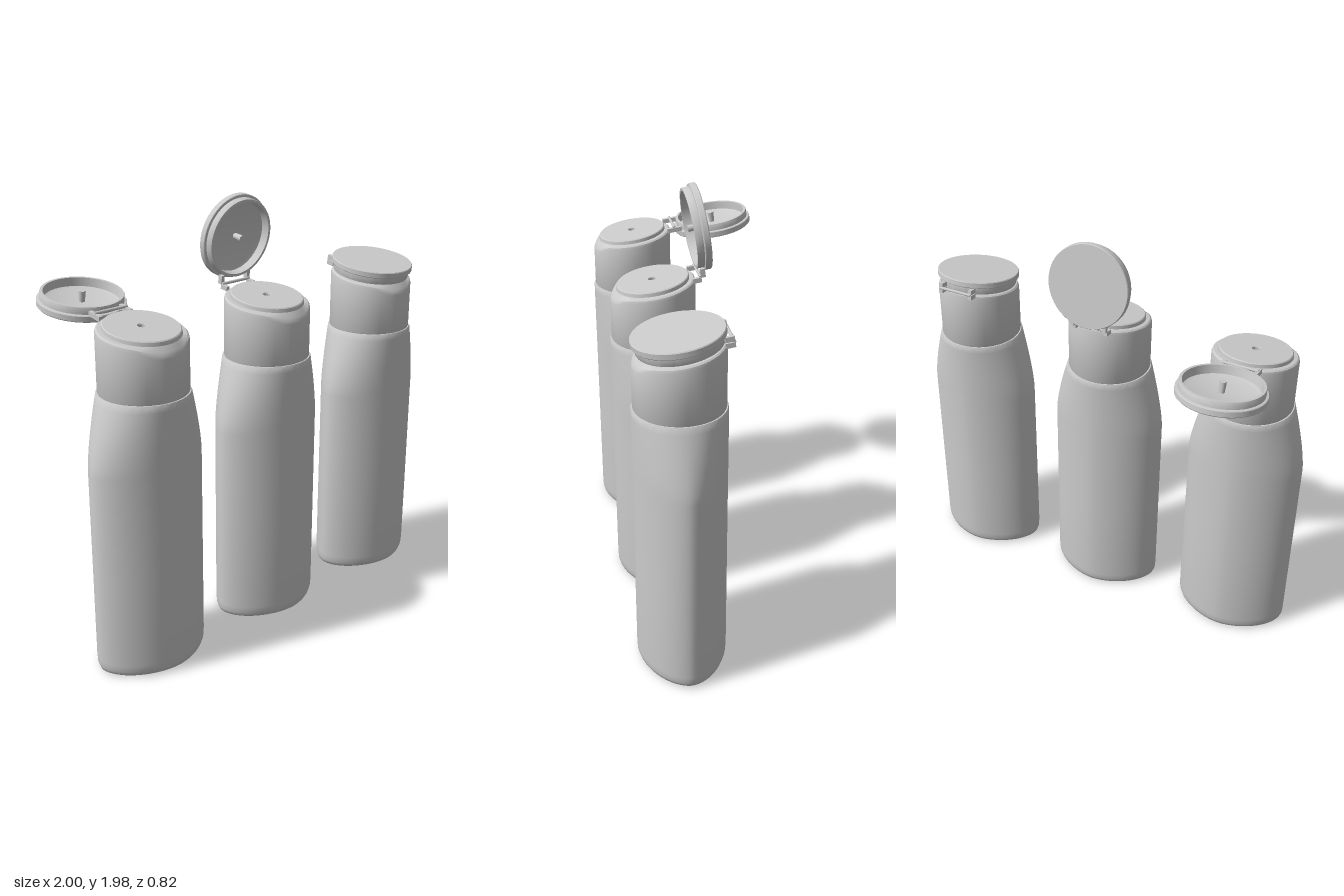
import * as THREE from 'three';
import { toCreasedNormals } from 'three/addons/utils/BufferGeometryUtils.js';

const material = new THREE.MeshStandardMaterial({ color: 0xcccccc });
const SEG = 72;
const TILT = 0.145;                 // slope of the cap top, rising to the back
const HINGE_Y = 1.573, HINGE_Z = -0.208;

function add(parent, name, geometry, x = 0, y = 0, z = 0) {
  const mesh = new THREE.Mesh(geometry, material);
  mesh.name = name;
  mesh.position.set(x, y, z);
  parent.add(mesh);
  return mesh;
}

// Skin a stack of rings, listed bottom centre first; pointAt(ring, angle) gives [x, y, z]
function loft(rings, pointAt, crease) {
  const pos = [], index = [];
  rings.forEach((ring, j) => {
    for (let i = 0; i < SEG; i++) {
      pos.push(...pointAt(ring, (i / SEG) * Math.PI * 2));
      if (j === 0) continue;
      const c = j * SEG + i, d = j * SEG + (i + 1) % SEG;
      const a = c - SEG, b = d - SEG;
      index.push(b, a, c, b, c, d);
    }
  });
  const g = new THREE.BufferGeometry();
  g.setAttribute('position', new THREE.Float32BufferAttribute(pos, 3));
  g.setIndex(index);
  return toCreasedNormals(g, crease);
}

// Bottle body: lens-shaped section blending to a round neck
function bodyGeometry() {
  // [height, half width, half depth, section exponent]
  const rings = [
    [0.03, 0, 0, 1.75], [0.028, 0.15, 0.1, 1.75], [0.02, 0.185, 0.125, 1.75],
    [0.004, 0.215, 0.148, 1.75], [0, 0.24, 0.168, 1.75], [0.003, 0.258, 0.184, 1.75],
    [0.012, 0.271, 0.195, 1.75], [0.03, 0.278, 0.201, 1.75], [0.06, 0.28, 0.203, 1.75],
    [0.5, 0.28, 0.203, 1.75],
  ];
  for (let k = 0; k <= 12; k++) {
    const t = k / 12;
    rings.push([0.95 + 0.312 * t, 0.28 - 0.076 * t ** 1.4, 0.203, 1.75 + 0.25 * t]);
  }
  rings.push([1.268, 0.2, 0.2, 2], [1.268, 0.18, 0.18, 2]);
  return loft(rings, ([y, a, b, n], t) => {
    const bend = v => Math.sign(v) * Math.abs(v) ** (2 / n);
    return [a * bend(Math.cos(t)), y, b * bend(Math.sin(t))];
  }, 0.7);
}

// Cap: round wall cut by the sloping top, thumb dip in front, raised disc with a spout hole
function capGeometry() {
  // [radius, height, follows the slope, share of thumb dip]
  const rings = [
    [0.185, 1.262, 0, 0], [0.193, 1.266, 0, 0], [0.196, 1.272, 0, 0],
    [0.196, -0.032, 1, 1], [0.193, -0.02, 1, 1], [0.186, -0.014, 1, 0.75],
    [0.168, -0.013, 1, 0], [0.166, 0.003, 1, 0], [0.162, 0.007, 1, 0],
    [0.02, 0.007, 1, 0], [0.018, 0.004, 1, 0], [0.016, -0.04, 1, 0], [0, -0.04, 1, 0],
  ];
  return loft(rings, ([r, h, slope, share], t) => {
    const x = r * Math.cos(t), z = r * Math.sin(t);
    const dip = z > 0 ? 0.026 * (1 - THREE.MathUtils.smoothstep(Math.abs(x), 0.05, 0.15)) : 0;
    const top = HINGE_Y - (z - HINGE_Z) * Math.tan(TILT);
    return [x, h + slope * top - share * dip, z];
  }, 0.5);
}

// Lid: flat plate with a hollow skirt below
function lidGeometry() {
  const profile = [
    [0, 0.036], [0.15, 0.036], [0.166, 0.03], [0.17, -0.009], [0.182, -0.009],
    [0.184, -0.005], [0.184, 0.023], [0.195, 0.025], [0.197, 0.028],
    [0.197, 0.051], [0.194, 0.055], [0, 0.055],
  ].map(p => new THREE.Vector2(...p));
  return toCreasedNormals(new THREE.LatheGeometry(profile, SEG), 0.5);
}

const body = bodyGeometry(), cap = capGeometry(), lidShell = lidGeometry();
const barrel = new THREE.CylinderGeometry(0.007, 0.007, 0.17, 12).rotateZ(Math.PI / 2);
const lug = new THREE.BoxGeometry(0.018, 0.022, 0.04);
const pin = new THREE.CylinderGeometry(0.013, 0.016, 0.052, 20);

function makeBottle(name, x, opening) {
  const bottle = new THREE.Group();
  bottle.name = name;
  bottle.position.set(x, 0, 0.205);
  add(bottle, 'body', body);
  add(bottle, 'cap', cap);

  // Hinge frame tilted with the cap top
  const hinge = new THREE.Group();
  hinge.name = 'hinge';
  hinge.position.set(0, HINGE_Y, HINGE_Z);
  hinge.rotation.x = TILT;
  bottle.add(hinge);
  add(hinge, 'hingeBarrel', barrel);

  // Lid turns backwards about the hinge
  const lid = new THREE.Group();
  lid.name = 'lid';
  lid.rotation.x = -opening;
  hinge.add(lid);
  add(lid, 'lidShell', lidShell, 0, 0, 0.208);
  add(lid, 'sealingPin', pin, 0, 0.012, 0.208);

  for (const side of [-1, 1]) {
    add(hinge, 'capLug', lug, side * 0.08, -0.013, 0.017);
    add(lid, 'lidLug', lug, side * 0.08, 0.013, 0.017);
  }
  return bottle;
}

export function createModel() {
  const model = new THREE.Group();
  model.name = 'flipTopBottles';
  model.add(
    makeBottle('fullyOpenBottle', -0.72, Math.PI),
    makeBottle('halfOpenBottle', 0, Math.PI / 2),
    makeBottle('closedBottle', 0.72, 0),
  );
  return model;
}
